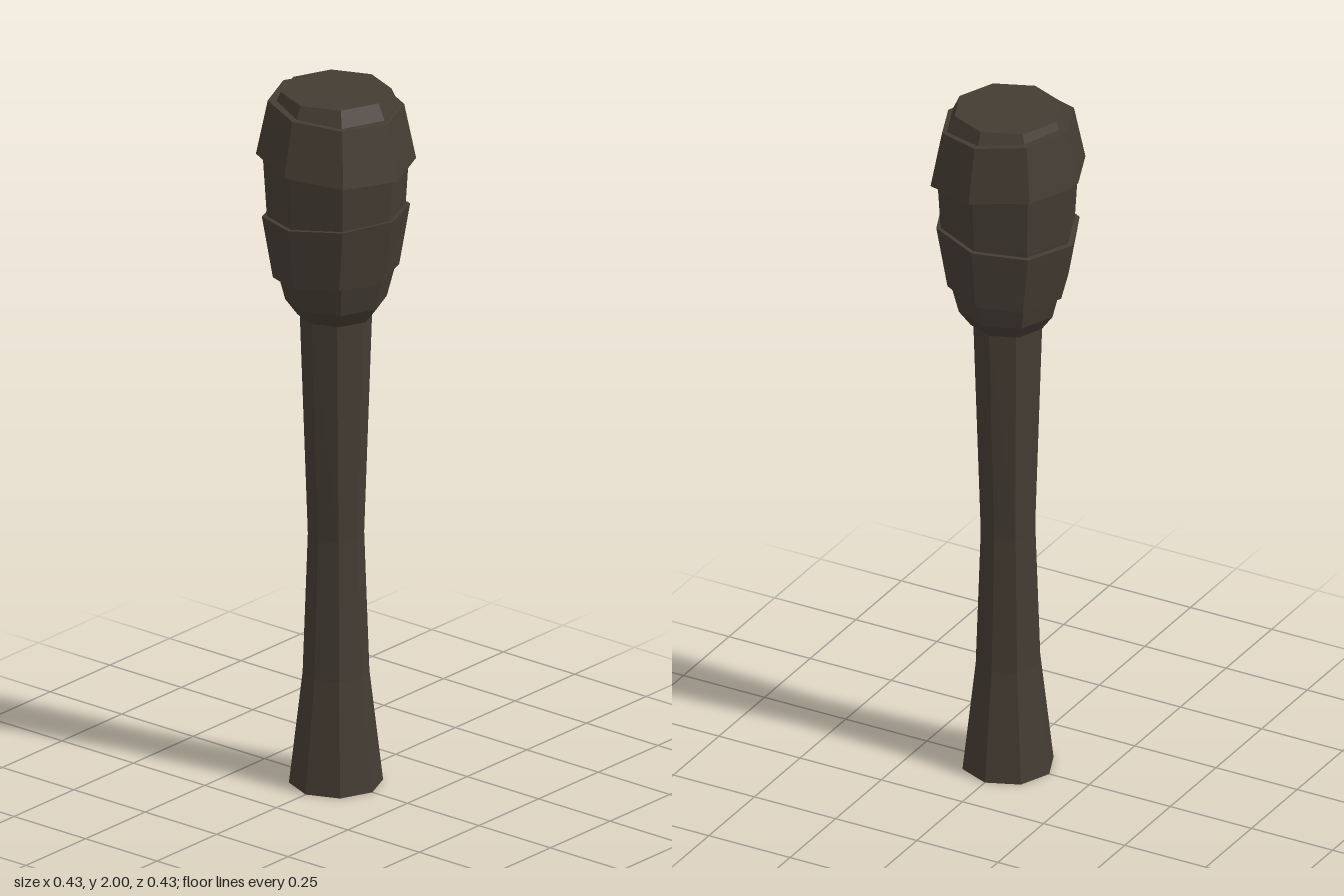
import * as THREE from 'three';

const SIDES = 8;

export function createModel() {
  const model = new THREE.Group();
  model.name = 'clubHandle';
  const darkWood = new THREE.MeshStandardMaterial({ color: 0x443c33, flatShading: true });
  darkWood.name = 'darkWood';

  const add = (name, geometry) => {
    const mesh = new THREE.Mesh(geometry, darkWood);
    mesh.name = name;
    model.add(mesh);
    return mesh;
  };

  // Octagonal turned part from [radius, height] pairs, bottom to top
  const turned = (profile) =>
    new THREE.LatheGeometry(profile.map(([r, y]) => new THREE.Vector2(r, y)), SIDES);

  // Flared shaft, slightly flattened front to back near the top
  const shaft = turned([[0, 0], [0.127, 0], [0.09, 0.32], [0.076, 0.72], [0.104, 1.36], [0, 1.36]]);
  const p = shaft.attributes.position;
  for (let i = 0; i < p.count; i++) {
    if (p.getY(i) > 1) p.setZ(i, p.getZ(i) * 0.89);
  }
  add('shaft', shaft);

  // Head core with collar below and chamfered cap above
  add('head', turned([
    [0, 1.355], [0.104, 1.355], [0.137, 1.4], [0.158, 1.48],
    [0.187, 1.65], [0.197, 1.81], [0.17, 1.955], [0.149, 2], [0, 2],
  ]));

  // Overlapping bands: frustums whose rims slope from front to back
  const band = (name, bottomR, topR, bottomY, topY, slope, bottomDepth) => {
    const g = new THREE.CylinderGeometry(topR, bottomR, topY - bottomY, SIDES);
    g.translate(0, (bottomY + topY) / 2, 0);
    const pos = g.attributes.position;
    for (let i = 0; i < pos.count; i++) {
      const y = pos.getY(i);
      const z = pos.getZ(i) * (y < (bottomY + topY) / 2 ? bottomDepth : 1);
      pos.setXYZ(i, pos.getX(i), y + slope * z, z);
    }
    add(name, g);
  };
  band('lowerBand', 0.178, 0.2, 1.477, 1.653, 0.085, 0.92);
  band('upperBand', 0.216, 0.184, 1.81, 1.965, -0.09, 1);

  return model;
}
